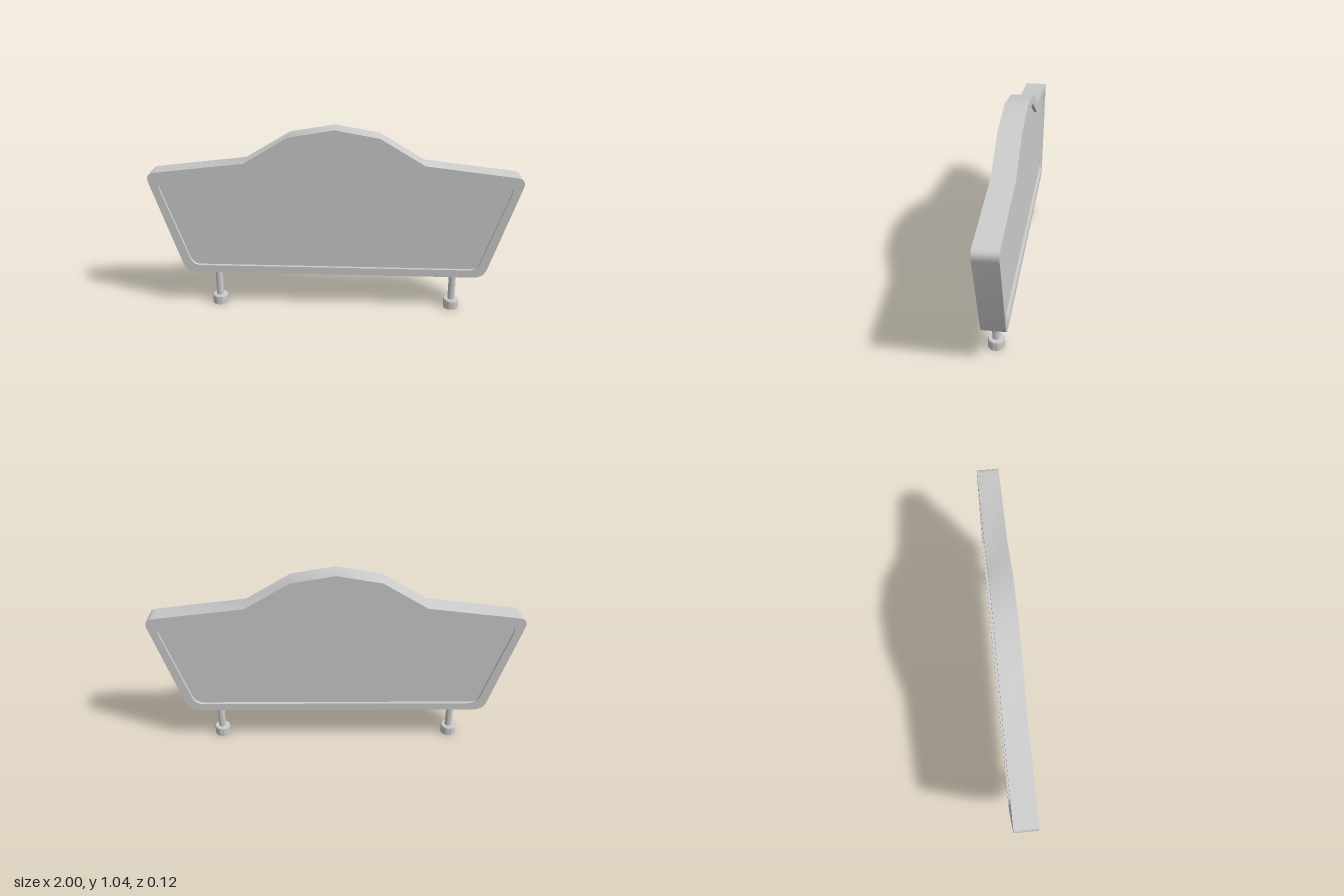
import * as THREE from 'three';
import { toCreasedNormals } from 'three/addons/utils/BufferGeometryUtils.js';

const material = new THREE.MeshStandardMaterial({ color: 0xcccccc });
const legMaterial = new THREE.MeshStandardMaterial({ color: 0xcccccc, side: THREE.DoubleSide });

// Right half of each outline, bottom to peak; r > 0 rounds that corner
const OUTER = [[0.828, 0.208, 0.055], [1.014, 0.786, 0.055], [0.48, 0.85, 0], [0.24, 0.995, 0], [0, 1.037, 0]];
const INNER = [[0.79, 0.251, 0.045], [0.957, 0.742, 0.05], [0.455, 0.807, 0], [0.225, 0.952, 0], [0, 0.995, 0]];

// Mirrors a half outline and traces it with rounded corners
function trace(half, path) {
  const mirrored = half.slice(0, -1).reverse().map(([x, y, r]) => [-x, y, r]);
  const points = [...half, ...mirrored];
  const n = points.length;
  points.forEach(([x, y, r], i) => {
    const corner = new THREE.Vector2(x, y);
    const toward = ([px, py]) => new THREE.Vector2(px, py).sub(corner).setLength(r).add(corner);
    const a = toward(points[(i + n - 1) % n]);
    const b = toward(points[(i + 1) % n]);
    if (i === 0) path.moveTo(a.x, a.y);
    else path.lineTo(a.x, a.y);
    if (r > 0) path.quadraticCurveTo(x, y, b.x, b.y);
  });
  path.closePath();
  return path;
}

function slab(name, shape, depth) {
  const geometry = new THREE.ExtrudeGeometry(shape, { depth, bevelEnabled: false, curveSegments: 8 });
  geometry.translate(0, 0, -depth / 2);
  const mesh = new THREE.Mesh(toCreasedNormals(geometry, Math.PI / 6), material);
  mesh.name = name;
  return mesh;
}

// Slim post on a wide foot, open underneath
function leg(name, x) {
  const profile = [[0.0425, 0], [0.0425, 0.046], [0.039, 0.052], [0.02, 0.052], [0.02, 0.209]]
    .map(([r, y]) => new THREE.Vector2(r, y));
  const geometry = toCreasedNormals(new THREE.LatheGeometry(profile, 32), Math.PI / 6);
  const mesh = new THREE.Mesh(geometry, legMaterial);
  mesh.name = name;
  mesh.position.set(x, 0, 0.015);
  return mesh;
}

export function createModel() {
  const group = new THREE.Group();
  group.name = 'headboard';

  // Raised border running round the board
  const border = trace(OUTER, new THREE.Shape());
  border.holes.push(trace(INNER, new THREE.Path()));
  group.add(slab('frame', border, 0.122));

  // Panel recessed on both faces
  group.add(slab('panel', trace(INNER, new THREE.Shape()), 0.088));

  group.add(leg('rightLeg', -0.656), leg('leftLeg', 0.664));
  return group;
}
